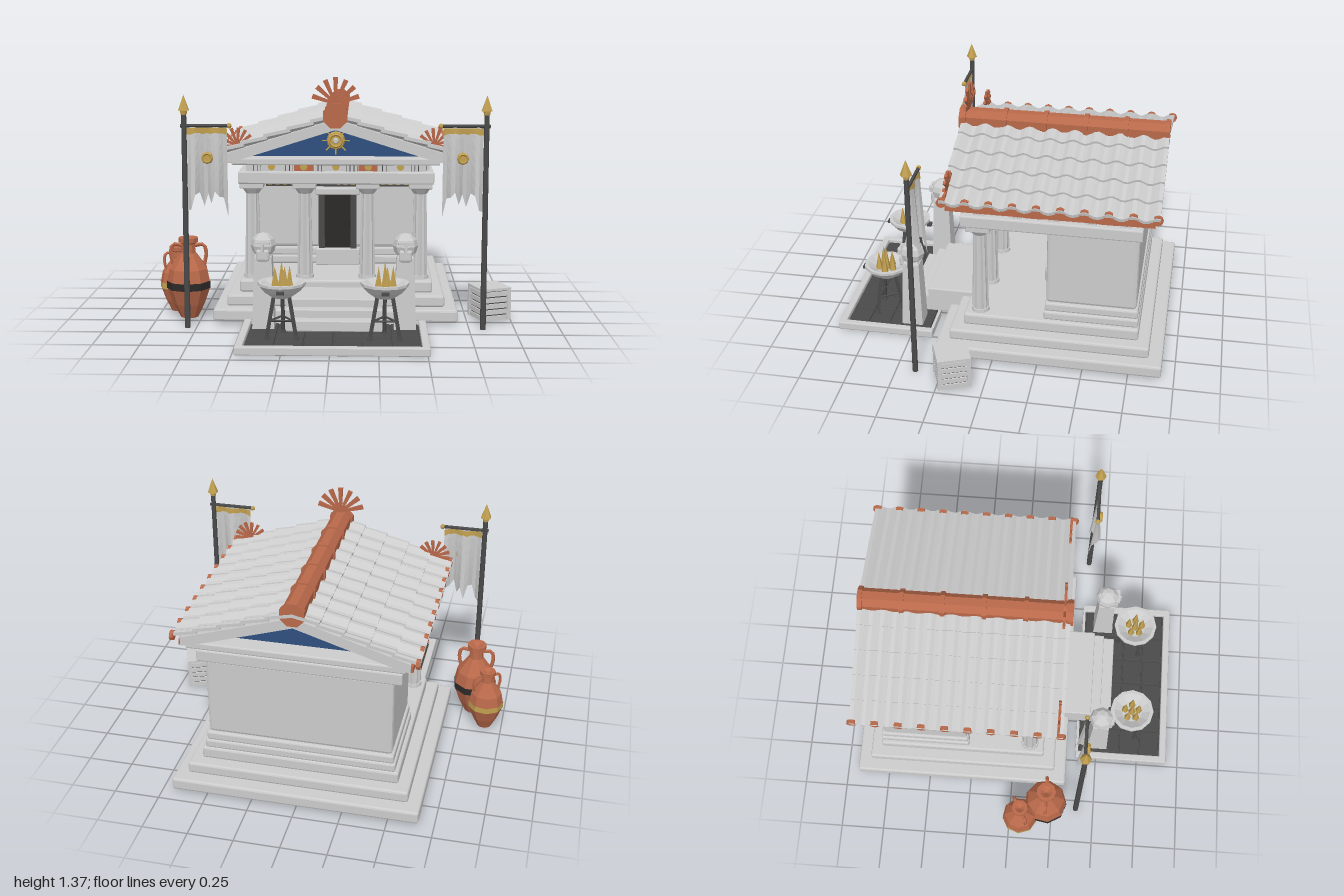
import * as THREE from 'three';
import { RoundedBoxGeometry } from 'three/addons/geometries/RoundedBoxGeometry.js';

const paint = (color, side = THREE.FrontSide) =>
  new THREE.MeshStandardMaterial({ color, flatShading: true, side });
const stone = paint(0xcccccc), cloth = paint(0xcccccc, THREE.DoubleSide);
const dark = paint(0x4a4a4a), black = paint(0x2c2a29), clay = paint(0xb9694a);
const gold = paint(0xc2a050), blue = paint(0x2f4f7f);

function add(parent, name, geo, mat, x = 0, y = 0, z = 0) {
  const m = new THREE.Mesh(geo, mat);
  m.name = name;
  m.position.set(x, y, z);
  parent.add(m);
  return m;
}
function group(parent, name, x = 0, y = 0, z = 0) {
  const g = new THREE.Group();
  g.name = name;
  g.position.set(x, y, z);
  parent.add(g);
  return g;
}
// Box from its limits, with optional chamfer
function box(parent, name, mat, x0, x1, y0, y1, z0, z1, r = 0) {
  const s = [x1 - x0, y1 - y0, z1 - z0];
  const geo = r ? new RoundedBoxGeometry(...s, 1, r) : new THREE.BoxGeometry(...s);
  return add(parent, name, geo, mat, (x0 + x1) / 2, (y0 + y1) / 2, (z0 + z1) / 2);
}
const cyl = (rt, rb, h, n = 8) => new THREE.CylinderGeometry(rt, rb, h, n);
const lathe = (pts, n) => new THREE.LatheGeometry(pts.map(p => new THREE.Vector2(...p)), n);
function prism(pts, z0, z1) {
  const s = new THREE.Shape(pts.map(p => new THREE.Vector2(...p)));
  return new THREE.ExtrudeGeometry(s, { depth: z1 - z0, bevelEnabled: false }).translate(0, 0, z0);
}
// Straight bar between two points
function bar(parent, name, mat, a, b, r, n = 5) {
  const p = new THREE.Vector3(...a), q = new THREE.Vector3(...b), d = q.clone().sub(p);
  const m = add(parent, name, cyl(r, r, d.length(), n), mat);
  m.position.copy(p).add(q).multiplyScalar(0.5);
  m.quaternion.setFromUnitVectors(new THREE.Vector3(0, 1, 0), d.normalize());
}
// Fan of flat tapered rays
function palmette(parent, name, x, y, z, size, tilt) {
  const g = group(parent, name, x, y, z);
  g.rotation.z = tilt;
  for (let i = -3; i <= 3; i++) {
    const len = size * (1 - 0.025 * Math.abs(i));
    const ray = add(g, 'ray', cyl(size * 0.13, size * 0.06, len, 4).rotateY(Math.PI / 4)
      .scale(1, 1, 0.012 / (size * 0.15)).translate(0, len / 2, 0), clay);
    ray.rotation.z = -i * 0.42;
  }
}

function buildTemple(root) {
  const t = group(root, 'temple', 0.013);
  // Stepped platform and front stairs
  box(t, 'lowerStep', stone, -0.68, 0.68, 0.015, 0.085, -0.93, 0.32, 0.012);
  box(t, 'middleStep', stone, -0.61, 0.61, 0.085, 0.15, -0.855, 0.25, 0.012);
  box(t, 'upperStep', stone, -0.545, 0.545, 0.15, 0.22, -0.79, 0.18, 0.012);
  [[0.575, 0.09], [0.51, 0.135], [0.45, 0.18]].forEach(([z, y]) =>
    box(t, 'stair', stone, -0.265, 0.265, y - 0.06, y, 0.1, z, 0.006));
  // Chamber walls on a moulded base
  box(t, 'wallBase', stone, -0.525, 0.525, 0.22, 0.27, -0.785, -0.265, 0.01);
  box(t, 'wallBaseUpper', stone, -0.515, 0.515, 0.27, 0.32, -0.78, -0.27, 0.01);
  box(t, 'walls', stone, -0.505, 0.505, 0.32, 0.78, -0.77, -0.275, 0.018);
  // Doorway
  box(t, 'threshold', stone, -0.13, 0.13, 0.22, 0.32, -0.28, -0.215, 0.006);
  box(t, 'door', black, -0.1, 0.1, 0.32, 0.65, -0.29, -0.262);
  for (const s of [-1, 1]) {
    box(t, 'doorJamb', dark, s * 0.095 - 0.018, s * 0.095 + 0.018, 0.32, 0.65, -0.28, -0.235);
    box(t, 'doorLeaf', black, s * 0.038 - 0.034, s * 0.038 + 0.034, 0.335, 0.63, -0.265, -0.255);
  }
  box(t, 'lintel', stone, -0.13, 0.13, 0.645, 0.685, -0.28, -0.22, 0.006);
  box(t, 'wallBand', dark, -0.43, 0.43, 0.69, 0.745, -0.28, -0.268);
  for (let i = -9; i <= 9; i++)
    box(t, 'bandKey', gold, i * 0.045 - 0.012, i * 0.045 + 0.012, 0.7, 0.73, -0.27, -0.264);
  // Fluted columns
  for (const x of [-0.475, -0.178, 0.178, 0.475]) {
    const c = group(t, 'column', x, 0, 0.095);
    const shaft = cyl(0.037, 0.047, 0.49, 20), p = shaft.attributes.position;
    for (let i = 0; i < p.count; i++) {
      const k = Math.round(Math.atan2(p.getX(i), p.getZ(i)) / (Math.PI / 10));
      if (k % 2) p.setXYZ(i, p.getX(i) * 0.87, p.getY(i), p.getZ(i) * 0.87);
    }
    add(c, 'shaft', shaft, stone, 0, 0.465, 0);
    add(c, 'columnFoot', cyl(0.05, 0.052, 0.02, 12), stone, 0, 0.23, 0);
    add(c, 'echinus', cyl(0.062, 0.038, 0.035, 12), stone, 0, 0.725, 0);
    box(c, 'abacus', stone, -0.066, 0.066, 0.74, 0.775, -0.066, 0.066, 0.005);
  }
  // Architrave, frieze, cornice
  box(t, 'architrave', stone, -0.548, 0.548, 0.77, 0.84, -0.785, 0.19, 0.008);
  box(t, 'frieze', stone, -0.505, 0.505, 0.83, 0.92, -0.755, 0.155);
  box(t, 'cornice', stone, -0.575, 0.575, 0.887, 0.927, -0.855, 0.265, 0.008);
  const friezeSide = (rot, half, off, centres, discs) => {
    const g = group(t, 'friezeDecoration', 0, 0, -0.3);
    g.rotation.y = rot;
    const d = half;
    centres.forEach((u, i) => {
      box(g, 'metope', i % 2 ? clay : stone, u + off - 0.053, u + off + 0.053, 0.842, 0.888, d - 0.01, d + 0.01);
      if (discs) add(g, 'metopeDisc', cyl(0.021, 0.021, 0.012, 8).rotateX(Math.PI / 2), gold, u + off, 0.866, d + 0.012);
    });
    for (let i = 0; i <= centres.length; i++) {
      const u = off + (i < centres.length ? centres[i] - 0.09 : centres[i - 1] + 0.09);
      box(g, 'triglyphGround', dark, u - 0.03, u + 0.03, 0.84, 0.89, d - 0.01, d + 0.004);
      for (const k of [-1, 0, 1])
        box(g, 'triglyphBar', stone, u + k * 0.021 - 0.008, u + k * 0.021 + 0.008, 0.84, 0.89, d, d + 0.018);
    }
  };
  const ends = [-0.36, -0.18, 0, 0.18, 0.36], flank = [-0.3, -0.1, 0.1, 0.3];
  friezeSide(0, 0.455, 0, ends, true);
  friezeSide(Math.PI, 0.455, 0, ends, false);
  friezeSide(Math.PI / 2, 0.505, 0, flank, false);
  friezeSide(-Math.PI / 2, 0.505, 0, [0.3, 0.1, -0.1, -0.3], false);
  // Gable: tympanum, sloping cornice, rosette
  add(t, 'tympanum', prism([[-0.53, 0.92], [0.53, 0.92], [0, 1.095]], -0.76, 0.17), blue);
  add(t, 'slopingCornice', prism([[-0.6, 0.905], [-0.565, 0.905], [0, 1.083], [0.565, 0.905],
    [0.6, 0.905], [0.6, 0.952], [0, 1.14], [-0.6, 0.952]], -0.86, 0.27), stone);
  add(t, 'rosette', cyl(0.045, 0.052, 0.02, 12).rotateX(Math.PI / 2), gold, 0, 1.015, 0.18);
  add(t, 'rosetteRing', new THREE.TorusGeometry(0.034, 0.007, 4, 12), gold, 0, 1.015, 0.192);
  add(t, 'rosetteBoss', cyl(0.012, 0.018, 0.02).rotateX(Math.PI / 2), stone, 0, 1.015, 0.198);
  for (let i = 0; i < 8; i++) {
    const a = i * Math.PI / 4;
    add(t, 'rosetteRay', new THREE.BoxGeometry(0.03, 0.007, 0.008).rotateZ(a), gold,
      Math.cos(a) * 0.062, 1.015 + Math.sin(a) * 0.062, 0.175);
  }
  // Wavy tile rows, gutter and eave discs on each slope
  const slope = 0.305, rowLen = 0.134;
  for (const s of [0, 1]) {
    const side = group(t, 'roofSlope', 0, 0, -0.298);
    side.rotation.y = s * Math.PI;
    for (let i = 0; i < 5; i++) {
      const geo = new THREE.BoxGeometry(rowLen + 0.015, 0.018, 1.15, 1, 1, 54), p = geo.attributes.position;
      for (let k = 0; k < p.count; k++)
        p.setY(k, p.getY(k) + 0.012 * Math.cos(p.getZ(k) / 0.125 * Math.PI * 2 + Math.PI));
      const d = (i + 0.5) * rowLen;
      const row = add(side, 'tileRow', geo, stone, d * Math.cos(slope), 1.157 - d * Math.sin(slope), 0);
      row.rotation.z = -slope + 0.09;
    }
    box(side, 'gutter', clay, 0.575, 0.612, 0.9, 0.935, -0.55, 0.55);
    for (let i = 0; i < 10; i++)
      add(side, 'eaveDisc', cyl(0.027, 0.027, 0.02, 8).rotateZ(Math.PI / 2), clay, 0.638, 0.962, (i - 4.5) * 0.125);
  }
  // Ridge and finials
  add(t, 'ridge', cyl(0.06, 0.06, 1.15).rotateX(Math.PI / 2).rotateZ(Math.PI / 8), clay, 0, 1.163, -0.295);
  for (const z of [-0.86, -0.635, -0.415, -0.19, 0.035, 0.265])
    add(t, 'ridgeBand', cyl(0.069, 0.069, 0.025).rotateX(Math.PI / 2).rotateZ(Math.PI / 8), clay, 0, 1.163, z);
  add(t, 'ridgeEnd', cyl(0.072, 0.072, 0.02).rotateX(Math.PI / 2).rotateZ(Math.PI / 8), clay, 0, 1.16, 0.28);
  palmette(t, 'topFinial', 0, 1.225, 0.24, 0.145, 0);
  for (const s of [-1, 1]) palmette(t, 'cornerFinial', s * 0.54, 0.995, 0.25, 0.1, -s * 0.35);
}

function buildCourt(root) {
  // Paved court with raised kerb
  const c = group(root, 'court', 0.013);
  box(c, 'courtBed', dark, -0.48, 0.48, 0, 0.02, 0.385, 0.915);
  box(c, 'kerb', stone, -0.5, 0.5, 0, 0.045, 0.885, 0.925, 0.006);
  for (const s of [-1, 1]) {
    box(c, 'kerb', stone, s * 0.48 - 0.02, s * 0.48 + 0.02, 0, 0.045, 0.375, 0.925, 0.006);
    box(c, 'kerb', stone, s * 0.38 - 0.11, s * 0.38 + 0.11, 0, 0.04, 0.375, 0.39);
  }
  for (let i = 0; i < 6; i++) for (let j = 0; j < 4; j++)
    box(c, 'paver', dark, -0.453 + i * 0.152, -0.307 + i * 0.152, 0.015, 0.03, 0.4 + j * 0.121, 0.515 + j * 0.121, 0.005);

  for (const s of [-1, 1]) {
    // Bust on a tapering pillar
    const h = group(c, 'bustPillar', s * 0.38, 0, 0.503);
    add(h, 'pillar', cyl(0.066, 0.084, 0.39, 4).rotateY(Math.PI / 4), stone, 0, 0.235, 0);
    add(h, 'shoulders', cyl(0.045, 0.066, 0.03, 4).rotateY(Math.PI / 4), stone, 0, 0.44, 0);
    add(h, 'head', new THREE.SphereGeometry(0.068, 8, 6).scale(1, 1, 1.05), stone, 0, 0.49, 0);
    box(h, 'beard', stone, -0.035, 0.035, 0.41, 0.475, 0.02, 0.068, 0.012);
    box(h, 'nose', stone, -0.008, 0.008, 0.465, 0.505, 0.055, 0.082);
    box(h, 'brow', stone, -0.04, 0.04, 0.505, 0.517, 0.04, 0.072);
    // Fire bowl on a tripod
    const b = group(c, 'brazier', s * 0.27, 0, 0.688);
    add(b, 'bowl', lathe([[0, 0.25], [0.05, 0.25], [0.1, 0.285], [0.127, 0.318], [0.127, 0.332],
      [0.108, 0.332], [0.06, 0.3], [0, 0.295]], 12), stone);
    for (let i = 0; i < 3; i++) {
      const a = i * Math.PI * 2 / 3 + Math.PI / 6, u = Math.cos(a), v = Math.sin(a);
      bar(b, 'leg', dark, [u * 0.045, 0.26, v * 0.045], [u * 0.09, 0.035, v * 0.09], 0.011);
      add(b, 'foot', cyl(0.012, 0.018, 0.02, 6), dark, u * 0.09, 0.04, v * 0.09);
      const a2 = a + Math.PI * 2 / 3;
      bar(b, 'brace', dark, [u * 0.07, 0.13, v * 0.07], [Math.cos(a2) * 0.07, 0.13, Math.sin(a2) * 0.07], 0.006);
    }
    for (const k of [-1, 1]) box(b, 'handle', dark, -0.02, 0.02, 0.29, 0.305, k * 0.125 - 0.012, k * 0.125 + 0.012);
    for (let i = 0; i < 6; i++) {
      const r = i ? 0.042 : 0, len = i ? 0.1 + 0.012 * (i % 3) : 0.15;
      add(b, 'flame', new THREE.ConeGeometry(0.022, len, 5), gold,
        r * Math.cos(i * 1.257), 0.295 + len / 2, r * Math.sin(i * 1.257));
    }
  }
}

function buildBanner(root, s) {
  // Pole with hanging torn cloth; mirrored by s
  const g = group(root, 'banner', 0.013 + s * 0.812, 0, 0.395);
  add(g, 'pole', cyl(0.014, 0.016, 1.2), dark, 0, 0.6, 0);
  add(g, 'spearCollar', cyl(0.02, 0.016, 0.025), gold, 0, 1.19, 0);
  add(g, 'spearhead', new THREE.ConeGeometry(0.032, 0.085, 6), gold, 0, 1.242, 0);
  bar(g, 'crossbar', dark, [s * 0.02, 1.118, 0], [-s * 0.24, 1.118, 0], 0.01);
  add(g, 'crossbarTip', new THREE.SphereGeometry(0.015, 6, 4), gold, -s * 0.243, 1.118, 0);
  const drop = [0.46, 0.45, 0.37, 0.36, 0.44, 0.37, 0.42, 0.35, 0.38, 0.39, 0.5];
  const sheet = (name, mat, from, to, lift) => {
    const geo = new THREE.PlaneGeometry(0.215, 1, 10, 6), p = geo.attributes.position;
    for (let i = 0; i < p.count; i++) {
      const u = p.getX(i) / 0.215 + 0.5, v = from + (0.5 - p.getY(i)) * (to - from);
      p.setXYZ(i, -s * (0.015 + u * 0.215), 1.115 - v * drop[Math.round(u * 10)],
        Math.sin(u * 11) * (0.006 + 0.028 * v) + lift);
    }
    add(g, name, geo, mat);
  };
  sheet('cloth', cloth, 0, 1, 0);
  const trim = paint(0xc2a050, THREE.DoubleSide);
  for (const lift of [-0.003, 0.003]) sheet('clothTrim', trim, 0.02, 0.1, lift);
  add(g, 'emblem', cyl(0.03, 0.034, 0.016, 8).rotateX(Math.PI / 2), gold, -s * 0.125, 0.945, 0.016);
  add(g, 'emblemRing', new THREE.TorusGeometry(0.024, 0.006, 4, 10), gold, -s * 0.125, 0.945, 0.026);
}

function buildJar(root, x, z, scale, bandMat, turn) {
  // Two-handled jar
  const g = group(root, 'jar', x, 0.015, z);
  g.scale.setScalar(scale);
  g.rotation.y = turn;
  add(g, 'jarBody', lathe([[0, 0], [0.05, 0], [0.09, 0.08], [0.122, 0.17], [0.122, 0.21], [0.108, 0.28], [0.06, 0.345],
    [0.042, 0.37], [0.038, 0.42], [0.056, 0.43], [0.056, 0.455], [0.035, 0.455], [0, 0.43]], 9), clay);
  add(g, 'jarBand', new THREE.CylinderGeometry(0.125, 0.125, 0.042, 9, 1, true), bandMat, 0, 0.19, 0);
  for (const s of [-1, 1]) {
    const path = new THREE.CatmullRomCurve3([[0.036, 0.41], [0.085, 0.415], [0.1, 0.37], [0.088, 0.3]]
      .map(([a, b]) => new THREE.Vector3(s * a, b, 0)));
    add(g, 'jarHandle', new THREE.TubeGeometry(path, 8, 0.011, 5), clay);
  }
}

function buildCrate(root) {
  // Slatted crate
  const g = group(root, 'crate', 0.88, 0.015, 0.176);
  g.rotation.y = 0.37;
  box(g, 'crateCore', dark, -0.078, 0.078, 0.005, 0.17, -0.078, 0.078);
  box(g, 'crateLid', stone, -0.09, 0.09, 0.168, 0.182, -0.09, 0.09);
  for (let k = 0; k < 4; k++) {
    const f = group(g, 'crateSide');
    f.rotation.y = k * Math.PI / 2;
    for (let i = 0; i < 5; i++) box(f, 'slat', stone, -0.086, 0.086, i * 0.034, i * 0.034 + 0.026, 0.076, 0.086);
    box(f, 'cratePost', stone, 0.068, 0.09, 0, 0.17, 0.068, 0.09);
  }
}

export function createModel() {
  const root = new THREE.Group();
  root.name = 'templeScene';
  buildTemple(root);
  buildCourt(root);
  for (const s of [-1, 1]) buildBanner(root, s);
  buildJar(root, -0.815, 0.21, 1, black, 0);
  buildJar(root, -0.9, 0.065, 0.82, gold, 0.5);
  buildCrate(root);
  return root;
}
